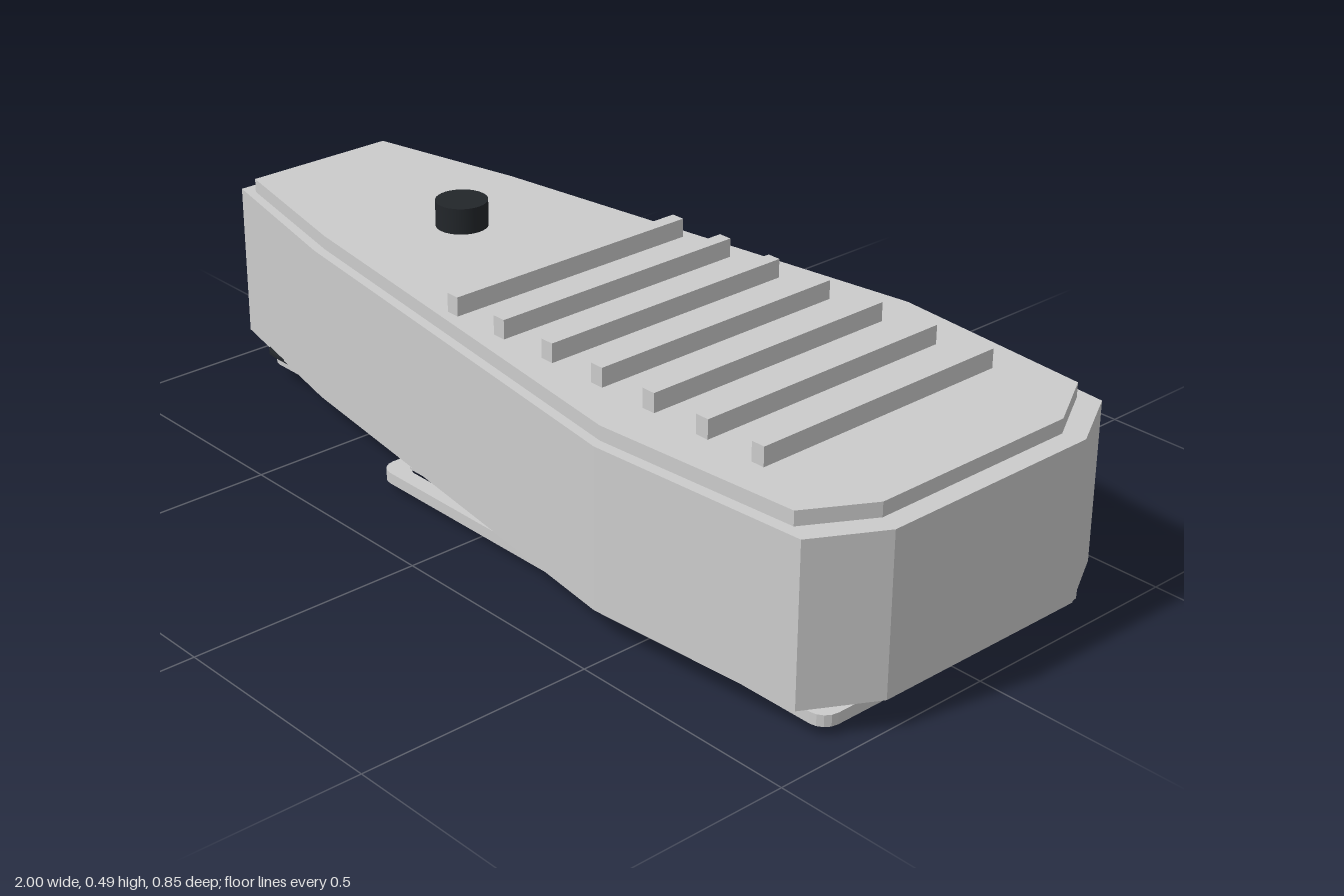
import * as THREE from 'three';

const grey = new THREE.MeshStandardMaterial({ color: 0xcccccc, flatShading: true });
const dark = new THREE.MeshStandardMaterial({ color: 0x22262a });

// Closed outline, mirrored across z, from half-profile points [x, z]
function mirrored(half) {
  const pts = half.map(([x, z]) => new THREE.Vector2(x, z));
  const back = half.map(([x, z]) => new THREE.Vector2(x, -z)).reverse();
  return [...pts, ...back];
}

// Rectangle outline with cut and softened corners
function softRect(x0, x1, hz, r) {
  const half = [];
  for (let i = 0; i <= 4; i++) {
    const a = (i / 4) * Math.PI / 2;
    half.push([x0 + r - r * Math.cos(a), hz - r + r * Math.sin(a)]);
  }
  for (let i = 0; i <= 4; i++) {
    const a = (i / 4) * Math.PI / 2;
    half.push([x1 - r + r * Math.sin(a), hz - r + r * Math.cos(a)]);
  }
  return mirrored(half);
}

// Horizontal slab between two heights, with an optional opening
function slab(name, outline, y0, y1, material, hole) {
  const shape = new THREE.Shape(outline);
  if (hole) shape.holes.push(new THREE.Path(hole));
  const geo = new THREE.ExtrudeGeometry(shape, { depth: y1 - y0, bevelEnabled: false });
  geo.rotateX(-Math.PI / 2).translate(0, y0, 0);
  const mesh = new THREE.Mesh(geo, material);
  mesh.name = name;
  return mesh;
}

function box(name, x, y, z, w, h, d, material = grey) {
  const mesh = new THREE.Mesh(new THREE.BoxGeometry(w, h, d), material);
  mesh.position.set(x, y, z);
  mesh.name = name;
  return mesh;
}

export function createModel() {
  const model = new THREE.Group();
  model.name = 'footPedal';

  // Tapered housing and the slightly smaller top plate
  model.add(slab('housing', mirrored([
    [-0.98, 0.185], [-0.6, 0.27], [0.44, 0.423], [0.92, 0.39], [1, 0.247]]), 0.065, 0.4, grey));
  model.add(slab('topPlate', mirrored([
    [-0.945, 0.173], [-0.59, 0.25], [0.43, 0.4], [0.88, 0.367], [0.957, 0.233]]), 0.4, 0.43, grey));

  // Grip ribs across the tread
  const ribs = new THREE.Group();
  ribs.name = 'gripRibs';
  for (let i = 0; i < 7; i++) {
    ribs.add(box('rib', -0.113 + i * 0.139, 0.449, 0, 0.03, 0.042, 0.592));
  }
  model.add(ribs);

  // Round button with a small edge bevel
  const button = new THREE.Mesh(new THREE.CylinderGeometry(0.055, 0.055, 0.057, 32), dark);
  button.position.set(-0.45, 0.4575, 0);
  button.name = 'button';
  model.add(button);

  // Socket on the narrow end: collar ring around a dark opening
  const socket = new THREE.Group();
  socket.name = 'socket';
  const collarShape = new THREE.Shape().absarc(0, 0, 0.1, 0, Math.PI * 2);
  collarShape.holes.push(new THREE.Path().absarc(0, 0, 0.078, 0, Math.PI * 2, true));
  const collar = new THREE.Mesh(new THREE.ExtrudeGeometry(collarShape,
    { depth: 0.012, bevelEnabled: false, curveSegments: 20 }), grey);
  collar.rotation.y = -Math.PI / 2;
  collar.position.x = -0.979;
  collar.name = 'socketCollar';
  const lip = new THREE.Mesh(new THREE.TorusGeometry(0.074, 0.008, 8, 32), dark);
  lip.rotation.y = Math.PI / 2;
  lip.position.x = -0.992;
  lip.name = 'socketLip';
  const opening = new THREE.Mesh(new THREE.CylinderGeometry(0.074, 0.074, 0.01, 32), dark);
  opening.rotation.z = Math.PI / 2;
  opening.position.x = -0.985;
  opening.name = 'socketOpening';
  socket.add(collar, lip, opening);
  socket.position.y = 0.3;
  model.add(socket);

  // Large base frame with its recessed panel
  model.add(slab('baseFrame', softRect(-0.3, 0.95, 0.348, 0.035), 0.02, 0.044, grey,
    softRect(-0.245, 0.895, 0.313, 0.012)));
  model.add(slab('basePanel', softRect(-0.25, 0.9, 0.315, 0.012), 0.05, 0.055, grey));

  // Small frame, panel and dark gasket under the narrow end
  model.add(slab('doorGasket', softRect(-0.88, -0.29, 0.226, 0.04), 0.061, 0.068, dark));
  model.add(slab('doorFrame', softRect(-0.87, -0.3, 0.211, 0.035), 0.038, 0.053, grey,
    softRect(-0.835, -0.33, 0.185, 0.01)));
  model.add(slab('doorPanel', softRect(-0.84, -0.325, 0.19, 0.01), 0.048, 0.052, grey));
  model.add(box('doorLatch', -0.55, 0.057, 0, 0.12, 0.01, 0.1));

  // Spacers and tiny feet at the corners of the base
  for (const x of [-0.24, 0.885]) {
    for (const s of [-1, 1]) {
      model.add(box('foot', x, 0.004, s * 0.314, 0.018, 0.008, 0.018));
      model.add(box('spacer', x < 0 ? -0.2 : 0.85, 0.06, s * 0.24, 0.02, 0.012, 0.02));
    }
  }
  return model;
}
